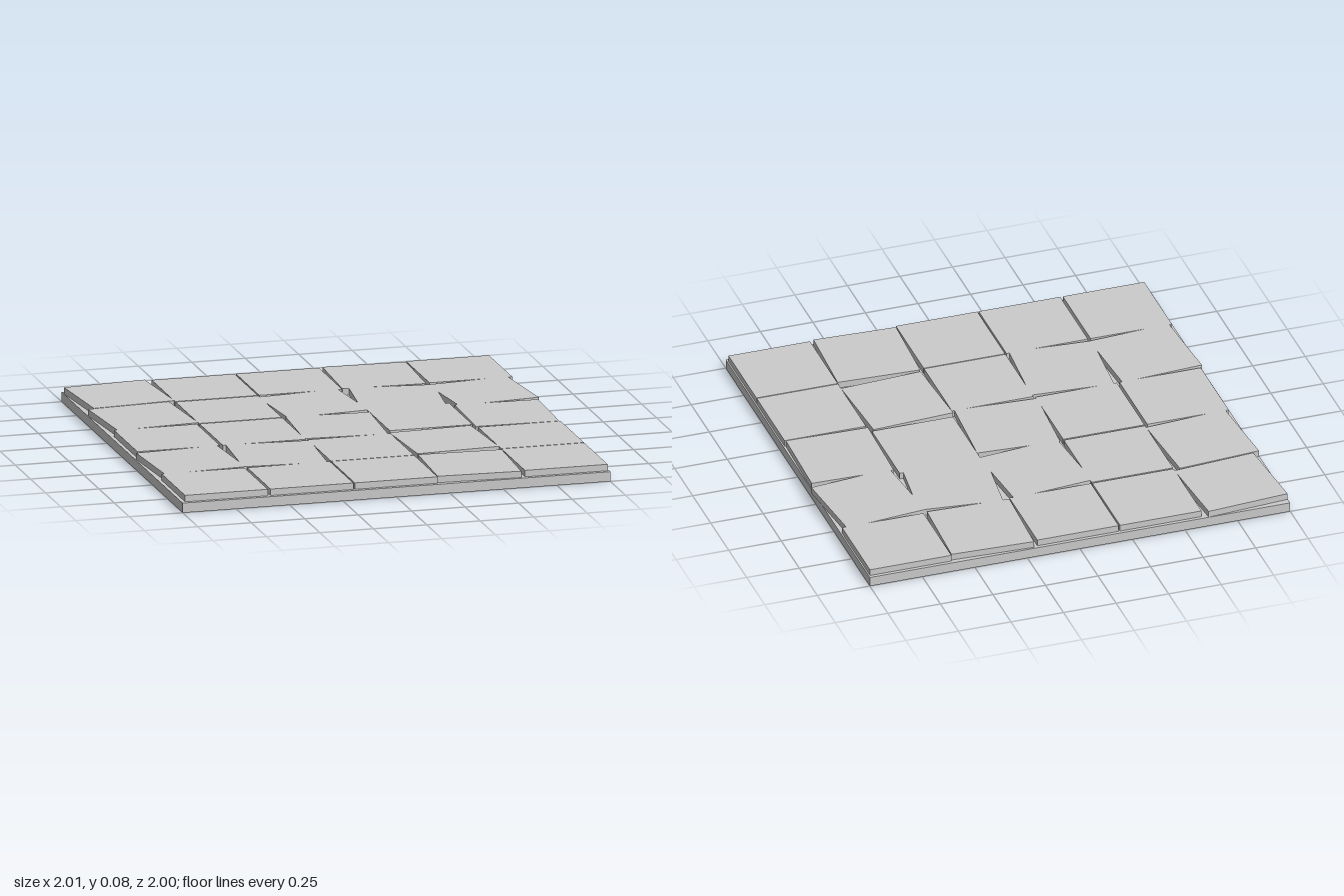
import * as THREE from 'three';

export function createModel() {
  const model = new THREE.Group();
  model.name = 'tiledFloor';
  const material = new THREE.MeshStandardMaterial({ color: 0xcccccc, flatShading: true });

  const baseHeight = 0.045, tileHeight = 0.03, tileSize = 0.387;

  // Square slab under the tiles
  const base = new THREE.Mesh(new THREE.BoxGeometry(2, baseHeight, 2), material);
  base.name = 'baseSlab';
  base.position.y = baseHeight / 2;
  model.add(base);

  // Five rows of tiles, back to front, each with its own small twist
  const columnX = [-0.79, -0.39, 0.004, 0.402, 0.8];
  const rowZ = [-0.79, -0.395, 0, 0.395, 0.787];
  const twist = [
    [0.08, 0, 0, -0.04, 0],
    [0.075, 0, 0.095, -0.115, 0.1],
    [0, 0, -0.06, 0, -0.025],
    [0.065, -0.07, 0, 0.06, 0],
    [0, 0, 0, -0.045, 0],
  ];
  // Two tiles have slipped towards the back
  const slipZ = { '2,3': -0.041, '3,3': -0.028 };

  const tiles = new THREE.Group();
  tiles.name = 'tiles';
  const tileGeometry = new THREE.BoxGeometry(tileSize, tileHeight, tileSize);
  rowZ.forEach((z, row) => columnX.forEach((x, column) => {
    const tile = new THREE.Mesh(tileGeometry, material);
    tile.name = `tileRow${row + 1}Column${column + 1}`;
    tile.position.set(x, baseHeight + tileHeight / 2, z + (slipZ[`${row},${column}`] ?? 0));
    tile.rotation.y = twist[row][column];
    tiles.add(tile);
  }));
  model.add(tiles);

  return model;
}
